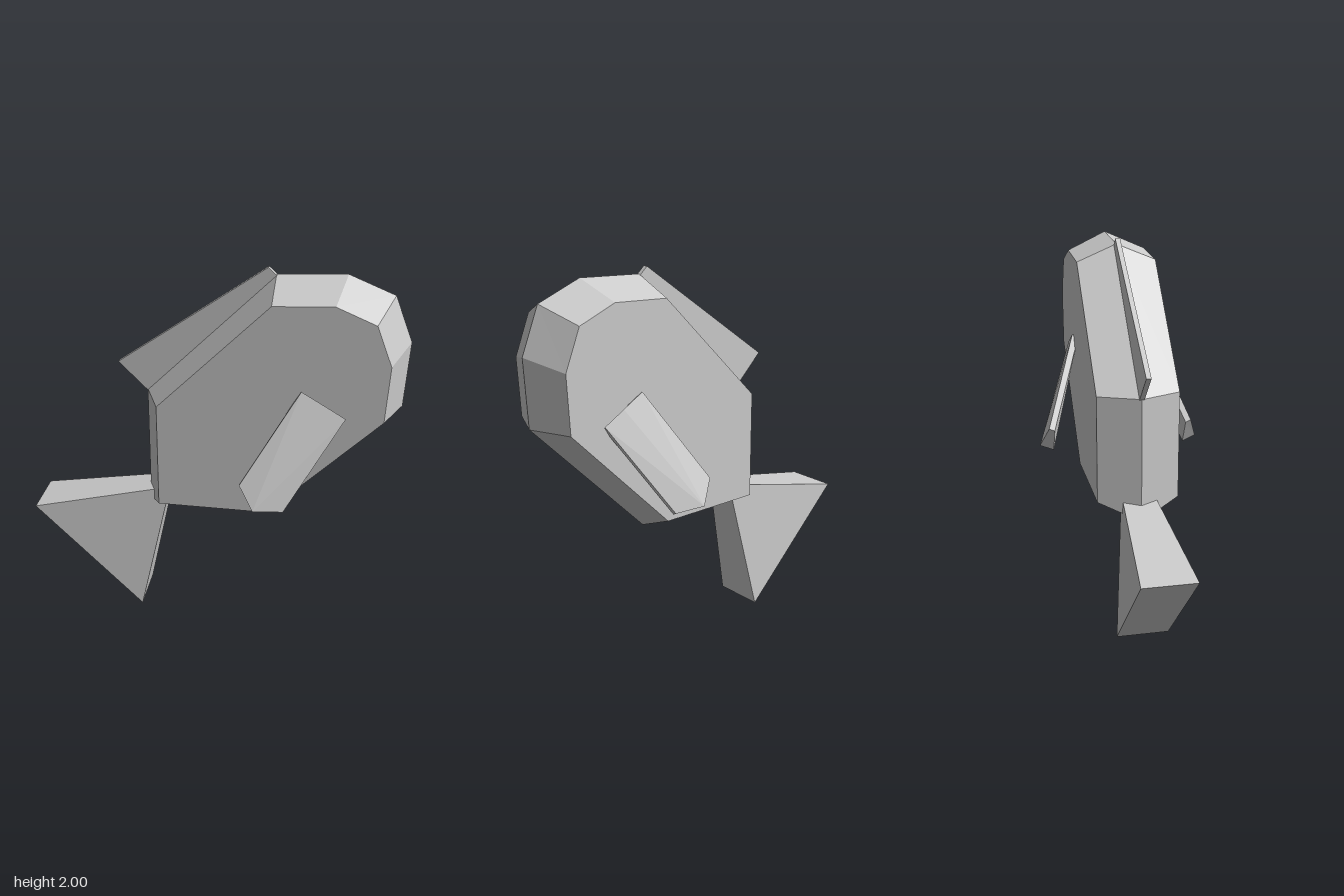
import * as THREE from 'three';

const material = new THREE.MeshStandardMaterial({ color: 0xcccccc, flatShading: true });

// Skin a list of matching loops (anticlockwise seen from +z, ordered back to front) and cap both ends
function loft(name, loops) {
  const pos = [];
  const tri = (a, b, c) => pos.push(...a, ...b, ...c);
  const n = loops[0].length;
  for (let s = 0; s < loops.length - 1; s++) {
    const a = loops[s], b = loops[s + 1];
    for (let i = 0; i < n; i++) {
      const j = (i + 1) % n;
      tri(a[i], a[j], b[j]);
      tri(a[i], b[j], b[i]);
    }
  }
  const back = loops[0], front = loops[loops.length - 1];
  for (let i = 1; i < n - 1; i++) {
    tri(front[0], front[i], front[i + 1]);
    tri(back[0], back[i + 1], back[i]);
  }
  const geometry = new THREE.BufferGeometry();
  geometry.setAttribute('position', new THREE.Float32BufferAttribute(pos, 3));
  geometry.computeVertexNormals();
  const mesh = new THREE.Mesh(geometry, material);
  mesh.name = name;
  return mesh;
}

const atZ = (outline, z) => outline.map(([x, y]) => [x, y, z]);
const mirrorZ = (loops) => loops.map((l) => l.map(([x, y, z]) => [x, y, -z])).reverse();

export function createModel() {
  const group = new THREE.Group();
  group.name = 'fish';

  // Body: flat flanks bevelled out to a wider outline on the centre plane
  const flank = [[-0.27, 0.727], [0.305, 0.727], [0.877, 1.3], [0.892, 1.6],
    [0.81, 1.807], [0.61, 1.89], [0.305, 1.875], [-0.27, 1.3]];
  const rim = [[-0.36, 0.638], [0.305, 0.638], [0.967, 1.3], [0.985, 1.65],
    [0.89, 1.887], [0.655, 1.982], [0.305, 1.965], [-0.36, 1.3]];
  group.add(loft('body', [atZ(flank, -0.215), atZ(rim, 0), atZ(flank, 0.215)]));

  // Thin fin along the sloping back, rooted in the body
  const dorsal = [[-0.51, 1.45], [-0.3, 1.24], [0.33, 1.94], [0.265, 2]];
  group.add(loft('dorsalFin', [atZ(dorsal, -0.013), atZ(dorsal, 0.013)]));

  // Wedge tail, thicker toward its free edge
  const tail = [[-0.99, 0.595, 0.14], [-0.4, 0, 0.14], [-0.236, 0.755, 0.083]];
  group.add(loft('tailFin', [tail.map(([x, y, z]) => [x, y, -z]), tail]));

  // Side fins: inner face, then ridged outer face
  const sideFin = [
    [[0.25, 0.84, 0.37], [0.41, 0.845, 0.385], [0.68, 1.29, 0.2],
      [0.56, 1.34, 0.19], [0.46, 1.43, 0.19], [0.182, 0.975, 0.37]],
    [[0.26, 0.868, 0.445], [0.41, 0.855, 0.405], [0.69, 1.31, 0.222],
      [0.58, 1.378, 0.226], [0.465, 1.443, 0.222], [0.185, 0.987, 0.4]],
  ];
  group.add(loft('frontSideFin', sideFin));
  group.add(loft('backSideFin', mirrorZ(sideFin)));

  return group;
}
